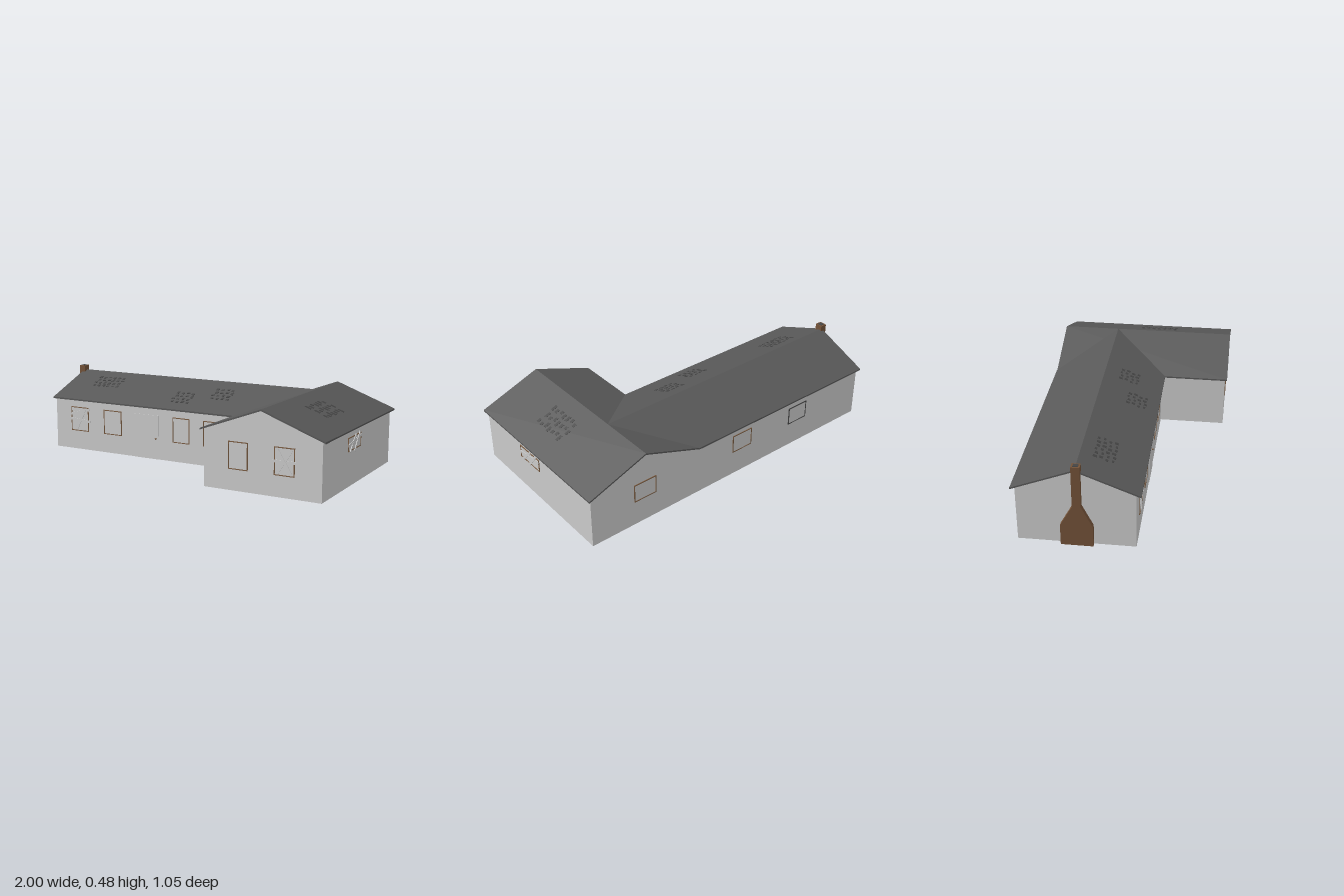
import * as THREE from 'three';
import { ConvexGeometry } from 'three/addons/geometries/ConvexGeometry.js';

const EAVE = 0.318, RIDGE = 0.45, THICK = 0.009;
const WING_X = 0.643, WING_HALF = 0.357;   // wing ridge position and roof half width
const MAIN_Z = -0.19, MAIN_HALF = 0.335;   // main ridge position and roof half width
const WING_SLOPE = (RIDGE - EAVE) / WING_HALF;
const MAIN_SLOPE = (RIDGE - EAVE) / MAIN_HALF;

const mat = (color, side = THREE.FrontSide) =>
  new THREE.MeshStandardMaterial({ color, side, flatShading: true });

export function createModel() {
  const house = new THREE.Group();
  house.name = 'house';
  const grey = mat(0xcccccc), roofMat = mat(0x585858), dark = mat(0x454545);
  const brown = mat(0x7a5c42), brick = mat(0x735238);

  const add = (name, geometry, material, parent = house) => {
    const mesh = new THREE.Mesh(geometry, material);
    mesh.name = name;
    parent.add(mesh);
    return mesh;
  };
  const box = (name, w, h, d, x, y, z, material, parent) => {
    const mesh = add(name, new THREE.BoxGeometry(w, h, d), material, parent);
    mesh.position.set(x, y, z);
    return mesh;
  };
  const polygon = (pts) => new THREE.Shape(pts.map(([x, y]) => new THREE.Vector2(x, y)));

  // Gabled wall block: pentagon section swept along its ridge
  const gable = (a, b, mid, slope, length) => {
    const top = (u) => RIDGE - THICK - Math.abs(u - mid) * slope;
    return new THREE.ExtrudeGeometry(
      polygon([[a, 0], [b, 0], [b, top(b)], [mid, top(mid)], [a, top(a)]]),
      { depth: length, bevelEnabled: false });
  };
  add('wingWalls', gable(0.305, 0.98, WING_X, WING_SLOPE, 1.008), grey).position.z = -0.5;
  const mainWalls = add('mainWalls', gable(-0.12, 0.5, 0.19, MAIN_SLOPE, 1.375), grey);
  mainWalls.rotation.y = Math.PI / 2;
  mainWalls.position.x = -0.975;

  // Roof slabs; the main slopes are cut along the valleys to meet the wing ridge
  const slab = (name, corners) => {
    const pts = corners.flatMap(([x, y, z]) =>
      [new THREE.Vector3(x, y, z), new THREE.Vector3(x, y - THICK, z)]);
    add(name, new ConvexGeometry(pts), roofMat);
  };
  for (const s of [-1, 1]) {
    const ex = WING_X + s * WING_HALF, ez = MAIN_Z + s * MAIN_HALF;
    slab('wingRoof', [[WING_X, RIDGE, -0.523], [WING_X, RIDGE, 0.522],
      [ex, EAVE, 0.522], [ex, EAVE, -0.523]]);
    slab('mainRoof', [[-0.981, RIDGE, MAIN_Z], [WING_X, RIDGE, MAIN_Z],
      [WING_X - WING_HALF, EAVE, ez], [-0.981, EAVE, ez]]);
  }

  // Chimney: broad hearth, sloping shoulders and narrow stack on the end wall
  const c = -0.182;
  const chimney = add('chimney', new THREE.ExtrudeGeometry(polygon([
    [0.1, 0], [0.27, 0], [0.27, 0.12], [-c + 0.023, 0.24], [-c + 0.023, 0.478],
    [-c - 0.023, 0.478], [-c - 0.023, 0.24], [0.1, 0.12],
  ]), { depth: 0.04, bevelEnabled: false }), brick);
  chimney.rotation.y = Math.PI / 2;
  chimney.position.x = -1;
  box('chimneyFlue', 0.024, 0.003, 0.028, -0.98, 0.479, c, dark);

  // Window: thin frame around a pane, with optional boards [x, y, length, angle]
  const windowAt = (x, y, z, turn, w, h, frame = brown, boards = []) => {
    const group = new THREE.Group();
    group.name = 'window';
    group.position.set(x, y, z);
    group.rotation.y = turn;
    house.add(group);
    const rim = 0.005;
    const outline = polygon([[-w / 2, -h / 2], [w / 2, -h / 2], [w / 2, h / 2], [-w / 2, h / 2]]);
    const iw = w / 2 - rim, ih = h / 2 - rim;
    outline.holes.push(polygon([[-iw, -ih], [-iw, ih], [iw, ih], [iw, -ih]]));
    add('windowFrame', new THREE.ExtrudeGeometry(outline, { depth: 0.004, bevelEnabled: false }),
      frame, group);
    box('windowPane', iw * 2, ih * 2, 0.002, 0, 0, 0.001, grey, group);
    boards.forEach(([bx, by, length, angle], i) => {
      box('board', length, 0.014, 0.003, bx, by, 0.005 + i * 0.001, grey, group).rotation.z = angle;
    });
  };
  const crossed = [[0, 0.045, 0.15, 0.25], [0, -0.005, 0.16, -0.08], [0.01, 0, 0.15, 1.1]];

  // Front windows
  windowAt(-0.795, 0.19, 0.12, 0, 0.13, 0.15, brown, crossed);
  windowAt(-0.55, 0.19, 0.12, 0, 0.13, 0.15);
  windowAt(-0.067, 0.19, 0.12, 0, 0.115, 0.15);
  windowAt(0.138, 0.19, 0.12, 0, 0.115, 0.15);
  windowAt(0.508, 0.19, 0.508, 0, 0.115, 0.15);
  windowAt(0.773, 0.19, 0.508, 0, 0.115, 0.15, brown,
    [[0, 0, 0.13, 0], [0, 0, 0.15, 1.0], [0, 0, 0.15, -1.0]]);
  // Side window
  windowAt(0.98, 0.232, 0.073, Math.PI / 2, 0.187, 0.076, brown,
    [[0, 0.01, 0.19, 0.15], [-0.03, 0, 0.12, 0.8], [0.03, 0, 0.12, 0.9]]);
  // Back windows
  windowAt(0.637, 0.205, -0.5, Math.PI, 0.145, 0.11);
  windowAt(-0.045, 0.205, -0.5, Math.PI, 0.14, 0.11);
  windowAt(-0.478, 0.205, -0.5, Math.PI, 0.14, 0.11, dark);

  // Front door
  box('door', 0.17, 0.265, 0.004, -0.305, 0.1325, 0.121, grey);
  const knob = add('doorKnob', new THREE.SphereGeometry(0.006, 10, 8), brown);
  knob.position.set(-0.24, 0.125, 0.125);

  // Patches of loose shingles lying on the slopes, in short uneven strips
  const shinglePatch = (x, z, turn, slope, columns, rows, strip) => {
    const group = new THREE.Group();
    group.name = 'looseShingles';
    const fall = turn ? x - WING_X : z - MAIN_Z;
    group.position.set(x, RIDGE - fall * slope, z);
    group.rotation.set(Math.atan(slope), turn, 0, 'YXZ');
    house.add(group);
    for (let i = 0; i < columns; i++) for (let j = 0; j < rows; j++) {
      const u = (i - (columns - 1) / 2) * 0.034 + (j % 2) * 0.01;
      const v = (j - (rows - 1) / 2) * strip * 1.5 + Math.sin(i * 2.3) * strip * 0.2;
      box('shingle', 0.018, 0.002, strip * (0.8 + 0.25 * Math.cos(i * 1.7 + j)),
        u, 0.0005, v, dark, group);
    }
  };
  shinglePatch(-0.71, -0.07, 0, MAIN_SLOPE, 6, 4, 0.022);
  shinglePatch(-0.12, 0.02, 0, MAIN_SLOPE, 4, 4, 0.022);
  shinglePatch(0.11, -0.05, 0, MAIN_SLOPE, 4, 4, 0.022);
  shinglePatch(0.8, 0.065, Math.PI / 2, WING_SLOPE, 7, 3, 0.036);

  return house;
}
